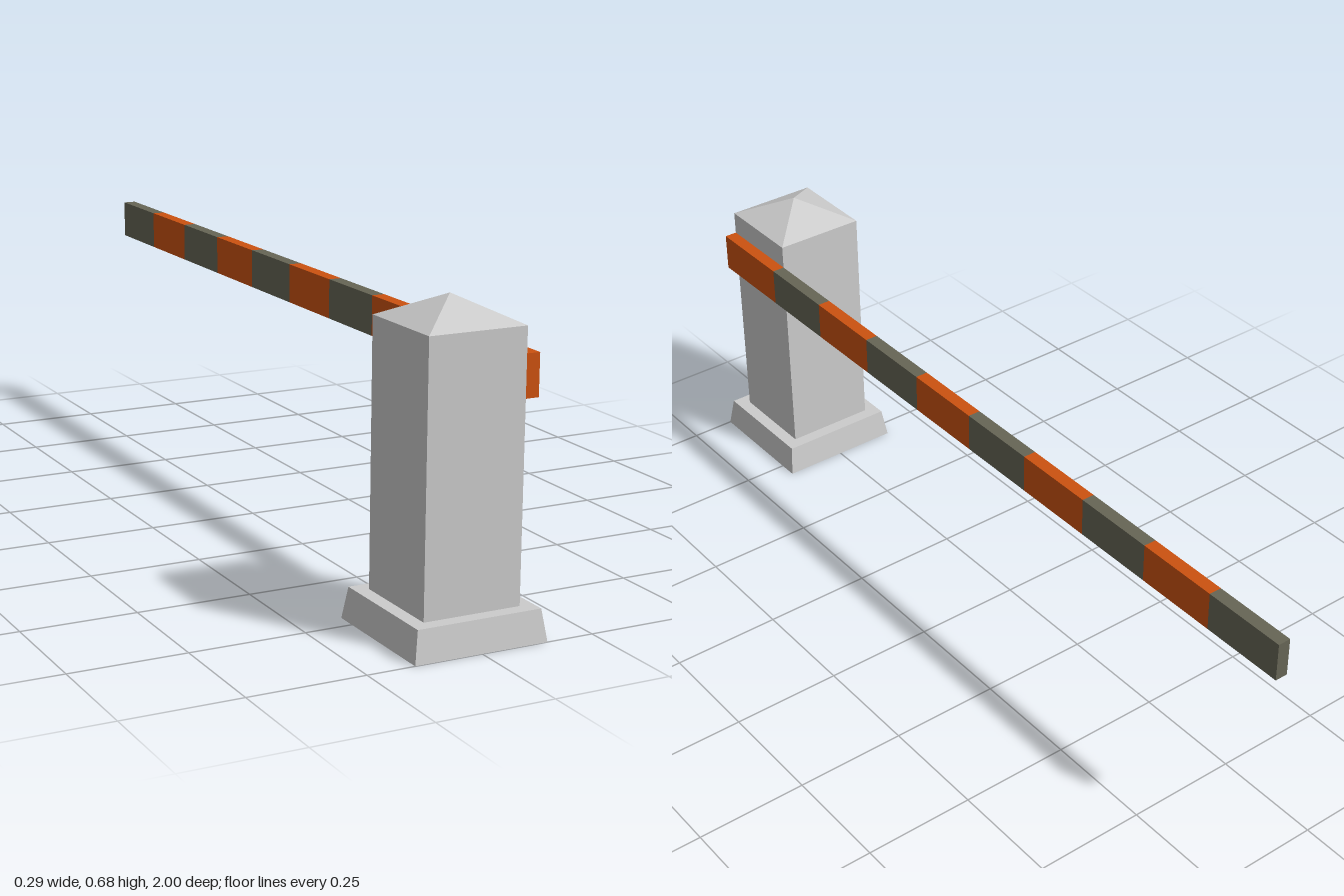
import * as THREE from 'three';

const POST_Z = 0.853;

// Square tapered block; half widths at top and bottom, from y0 to y1
function block(name, topHalf, bottomHalf, y0, y1, material) {
  const geometry = new THREE.CylinderGeometry(
    topHalf * Math.SQRT2, bottomHalf * Math.SQRT2, y1 - y0, 4, 1);
  geometry.rotateY(Math.PI / 4);
  const mesh = new THREE.Mesh(geometry, material);
  mesh.name = name;
  mesh.position.set(0, (y0 + y1) / 2, POST_Z);
  return mesh;
}

export function createModel() {
  const model = new THREE.Group();
  model.name = 'barrierGate';
  const grey = new THREE.MeshStandardMaterial({ color: 0xcccccc, flatShading: true });
  const orange = new THREE.MeshStandardMaterial({ color: 0xcc5210 });
  const dark = new THREE.MeshStandardMaterial({ color: 0x666555 });

  // Post: splayed footing, square shaft and pyramid cap
  const post = new THREE.Group();
  post.name = 'post';
  post.add(
    block('footing', 0.137, 0.147, 0, 0.067, grey),
    block('shaft', 0.107, 0.107, 0.067, 0.622, grey),
    block('cap', 0, 0.107, 0.622, 0.675, grey));
  model.add(post);

  // Striped arm: the first stripe covers the post, the rest are equal
  const arm = new THREE.Group();
  arm.name = 'arm';
  const first = 0.96, second = 0.746, end = -1, count = 10;
  const step = (second - end) / (count - 1);
  for (let i = 0; i < count; i++) {
    const near = i === 0 ? first : second - (i - 1) * step;
    const far = second - i * step;
    const stripe = new THREE.Mesh(
      new THREE.BoxGeometry(0.029, 0.088, near - far), i % 2 ? dark : orange);
    stripe.name = 'stripe' + (i + 1);
    stripe.position.set(0.1215, 0.524, (near + far) / 2);
    arm.add(stripe);
  }
  model.add(arm);
  return model;
}
